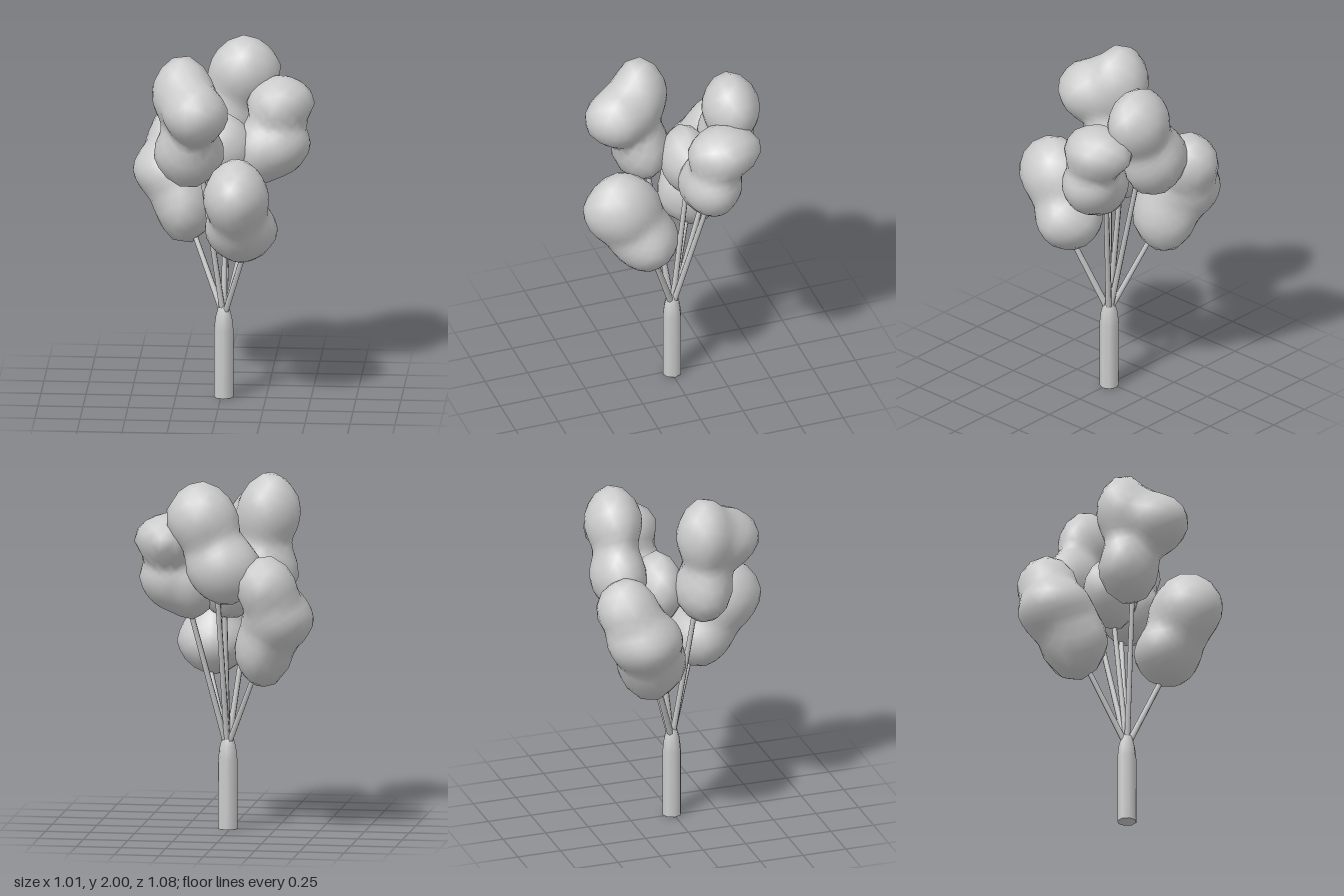
import * as THREE from 'three';
import { mergeVertices } from 'three/addons/utils/BufferGeometryUtils.js';

const material = new THREE.MeshStandardMaterial({ color: 0xcccccc });

// Lobes of each foliage group as boxes [x0, x1, y0, y1, z0, z1], and the centre they grow from
const foliage = [
  { name: 'foliageFrontUpper', centre: [-0.17, 1.63, 0.16], lobes: [
    [-0.30, 0.06, 1.52, 1.88, 0.08, 0.46],
    [-0.38, -0.03, 1.55, 2.0, -0.05, 0.27],
    [-0.37, 0.03, 1.23, 1.64, -0.05, 0.28],
  ] },
  { name: 'foliageFrontLower', centre: [0.12, 1.12, 0.26], lobes: [
    [-0.08, 0.29, 1.02, 1.47, 0.1, 0.55],
    [-0.08, 0.33, 0.83, 1.21, 0.0, 0.38],
  ] },
  { name: 'foliageLeft', centre: [0.29, 1.47, -0.16], lobes: [
    [0.13, 0.51, 1.5, 1.8, -0.42, 0.01],
    [0.16, 0.49, 1.25, 1.6, -0.30, 0.02],
    [0.05, 0.35, 1.19, 1.57, -0.28, 0.02],
  ] },
  { name: 'foliageBackUpper', centre: [0.06, 1.64, -0.32], lobes: [
    [-0.09, 0.32, 1.58, 2.0, -0.48, -0.15],
    [-0.23, 0.2, 1.3, 1.72, -0.49, -0.17],
  ] },
  { name: 'foliageBackLower', centre: [-0.28, 1.23, -0.27], lobes: [
    [-0.38, -0.05, 0.82, 1.26, -0.40, 0.0],
    [-0.51, -0.12, 1.04, 1.42, -0.49, -0.06],
    [-0.42, -0.08, 1.25, 1.6, -0.54, -0.19],
  ] },
  { name: 'foliageCentre', centre: [-0.01, 1.4, -0.09], lobes: [[-0.21, 0.19, 1.19, 1.62, -0.24, 0.05]] },
];

// Slightly pointed lobes blended into one skin, traced outwards from the centre
function foliageGeometry(centre, lobes) {
  const power = 1.75;
  const field = (point) => lobes.reduce((sum, box) => {
    let d = 0;
    for (let a = 0; a < 3; a++) {
      const lo = box[a * 2], hi = box[a * 2 + 1];
      d += Math.abs((2 * point.getComponent(a) - lo - hi) / (hi - lo)) ** power;
    }
    return sum + Math.exp(5 * (1 - d ** (1 / power)));
  }, 0);

  let g = new THREE.IcosahedronGeometry(1, lobes.length > 1 ? 4 : 2);
  g.deleteAttribute('normal');
  g.deleteAttribute('uv');
  g = mergeVertices(g, 1e-3);
  const origin = new THREE.Vector3(...centre);
  const p = g.attributes.position;
  const dir = new THREE.Vector3(), point = new THREE.Vector3();
  for (let i = 0; i < p.count; i++) {
    dir.fromBufferAttribute(p, i).normalize();
    let r = 0.7;
    do {
      r -= 0.003;
      point.copy(origin).addScaledVector(dir, r);
    } while (r > 0.05 && field(point) < 1);
    p.setXYZ(i, point.x, point.y, point.z);
  }
  g.computeVertexNormals();
  return g;
}

// Where each branch ends, inside its foliage
const branchEnds = [
  [-0.18, 0.95, -0.17],
  [0.16, 0.95, 0.17],
  [-0.10, 1.32, 0.10],
  [0.22, 1.32, -0.17],
  [0.04, 1.42, -0.25],
  [0.02, 1.32, -0.10],
];

export function createModel() {
  const model = new THREE.Group();
  const add = (name, geometry, parent = model) => {
    const mesh = new THREE.Mesh(geometry, material);
    mesh.name = name;
    parent.add(mesh);
  };

  // Trunk with a rounded, narrowing top
  const profile = [[0, 0], [0.054, 0], [0.054, 0.001], [0.054, 0.39], [0.046, 0.46], [0.031, 0.515], [0.022, 0.53], [0, 0.53]]
    .map(([r, y]) => new THREE.Vector2(r, y));
  add('trunk', new THREE.LatheGeometry(profile, 8).translate(0.015, 0, -0.005));

  // Thin branches fanning out of the trunk
  const branches = new THREE.Group();
  branches.name = 'branches';
  for (const end of branchEnds) {
    const b = new THREE.Vector3(...end);
    const a = new THREE.Vector3(0.015 + b.x * 0.04, 0.48, -0.005 + b.z * 0.04);
    const dir = b.clone().sub(a);
    const g = new THREE.CylinderGeometry(0.015, 0.018, dir.length(), 6);
    g.applyQuaternion(new THREE.Quaternion().setFromUnitVectors(new THREE.Vector3(0, 1, 0), dir.normalize()));
    const m = a.add(b).multiplyScalar(0.5);
    add('branch', g.translate(m.x, m.y, m.z), branches);
  }
  model.add(branches);

  // Foliage
  for (const { name, centre, lobes } of foliage) add(name, foliageGeometry(centre, lobes));
  return model;
}
